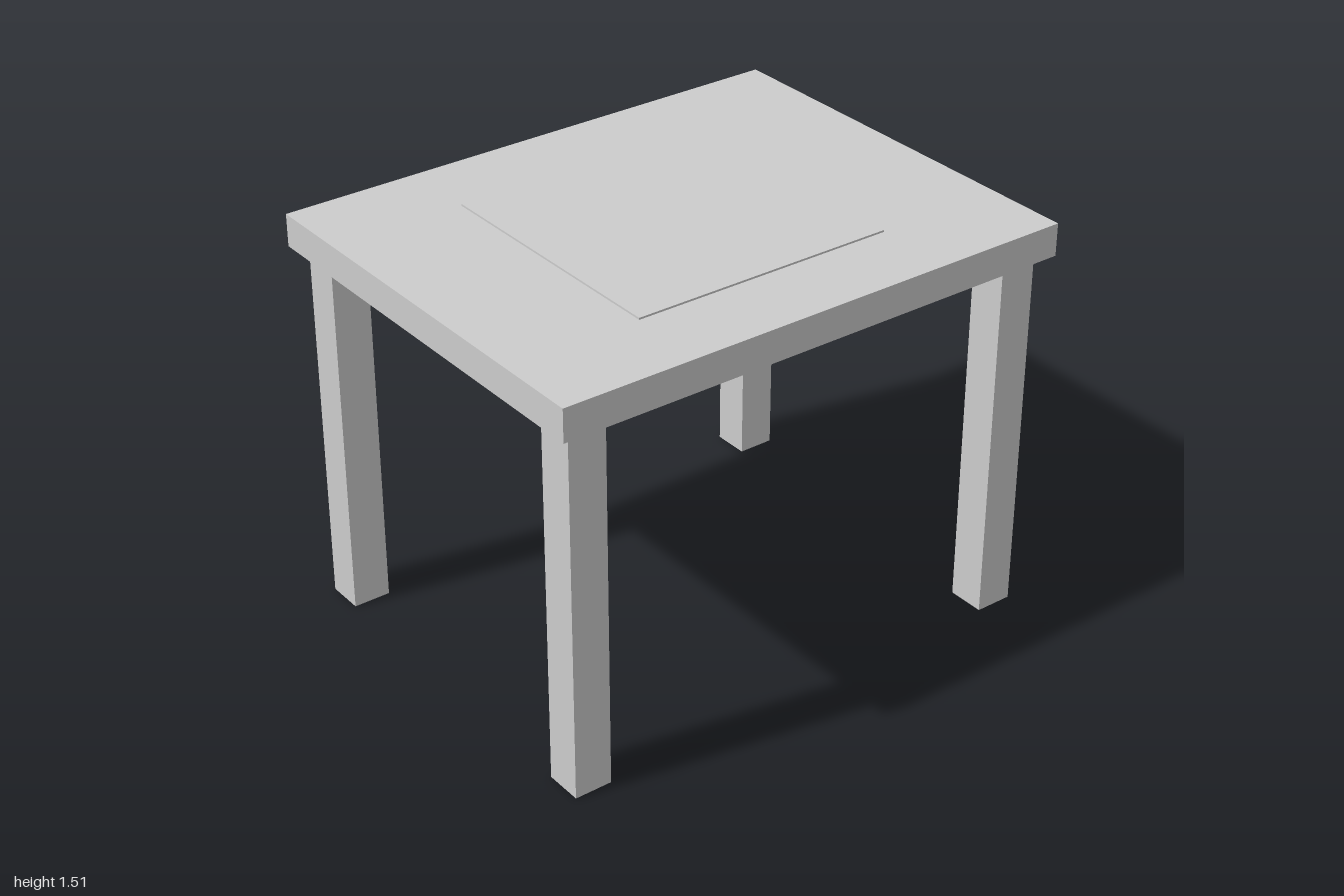
import * as THREE from 'three';

export function createModel() {
  const group = new THREE.Group();
  group.name = 'table';
  const grey = new THREE.MeshStandardMaterial({ color: 0xcccccc });
  grey.name = 'light grey';

  // box standing on height y0
  const addBox = (name, w, h, d, x, y0, z) => {
    const mesh = new THREE.Mesh(new THREE.BoxGeometry(w, h, d), grey);
    mesh.name = name;
    mesh.position.set(x, y0 + h / 2, z);
    group.add(mesh);
  };

  // top slab, thin square inlay above it, and the support panel below
  addBox('tableTop', 2, 0.12, 1.6, 0, 1.38, 0);
  addBox('topInlay', 1, 0.007, 1, 0, 1.5, 0);
  addBox('underPanel', 1.8, 0.04, 1.4, 0, 1.34, 0);

  // four square legs
  for (const [side, sx] of [['Left', 1], ['Right', -1]]) {
    for (const [end, sz] of [['front', 1], ['back', -1]]) {
      addBox(end + side + 'Leg', 0.14, 1.38, 0.14, sx * 0.88, 0, sz * 0.68);
    }
  }
  return group;
}
